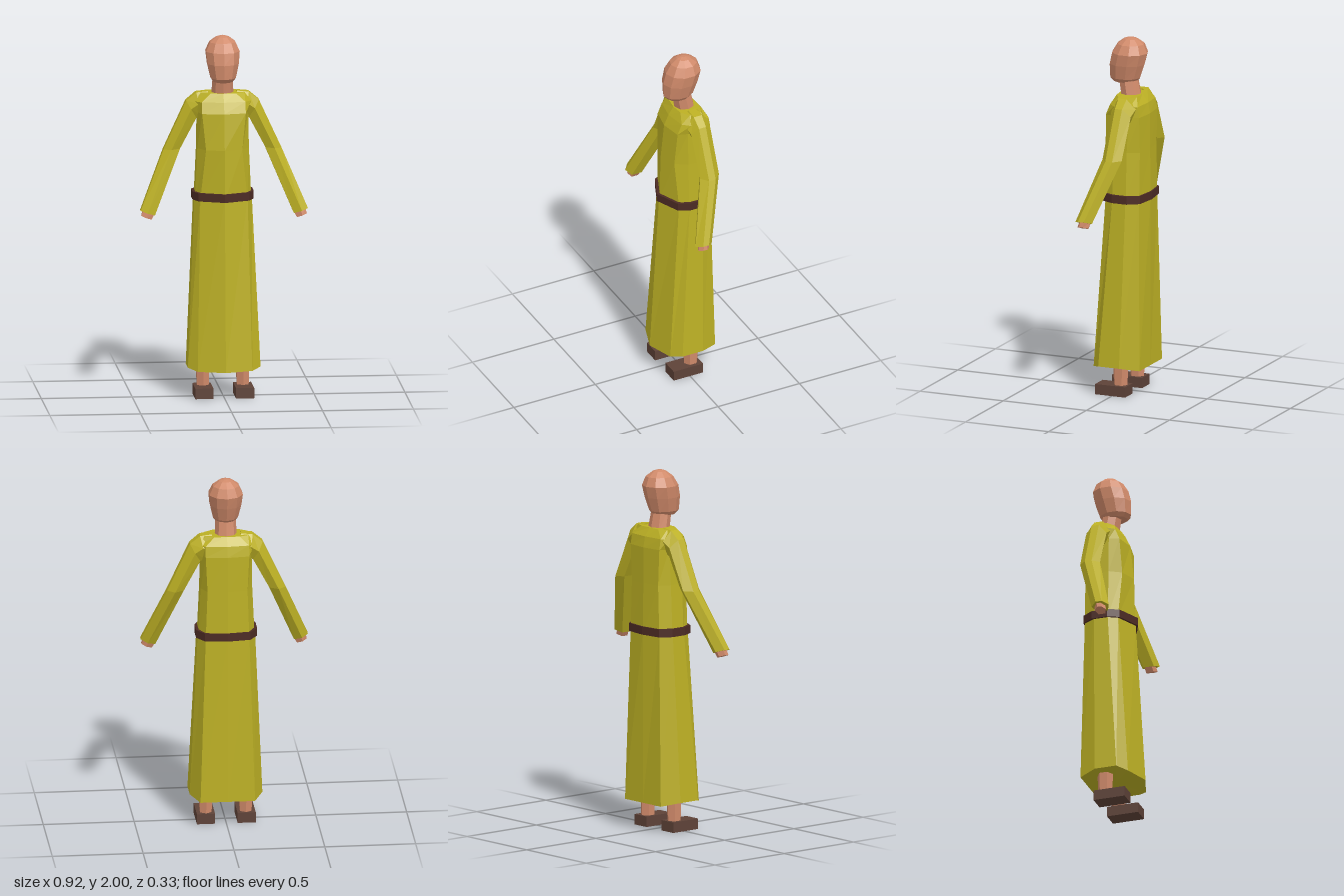
import * as THREE from 'three';

const mat = (color) => new THREE.MeshStandardMaterial({ color, flatShading: true });

// Skin a stack of rings; each ring runs counter-clockwise seen from the stack's far end
function loft(rings) {
  const pos = [];
  const tri = (...p) => p.forEach((v) => pos.push(...v));
  const n = rings[0].length;
  for (let i = 0; i < rings.length - 1; i++) {
    for (let j = 0; j < n; j++) {
      const k = (j + 1) % n;
      const a = rings[i][j], b = rings[i][k], c = rings[i + 1][k], d = rings[i + 1][j];
      tri(a, b, c);
      tri(a, c, d);
    }
  }
  const mid = (r) => [0, 1, 2].map((q) => r.reduce((s, p) => s + p[q], 0) / n);
  const first = rings[0], last = rings[rings.length - 1];
  for (let j = 0; j < n; j++) {
    const k = (j + 1) % n;
    tri(mid(first), first[k], first[j]);
    tri(mid(last), last[j], last[k]);
  }
  const g = new THREE.BufferGeometry();
  g.setAttribute('position', new THREE.Float32BufferAttribute(pos, 3));
  g.computeVertexNormals();
  return g;
}

// Left half [x, z] from front centre to back centre, mirrored into a full ring;
// rise lifts the corners above the centre line
function halfRing(y, half, rise = 0) {
  const left = half.map(([x, z]) => [x, y + (x > 0.17 ? rise : 0), z]);
  const right = left.slice(1, -1).reverse().map(([x, yy, z]) => [-x, yy, z]);
  return [...left, ...right];
}

// Ellipse ring starting at the front
function oval(y, rx, zf, zb, n = 10, tilt = 0) {
  return Array.from({ length: n }, (_, i) => {
    const a = (i / n) * Math.PI * 2, c = Math.cos(a);
    return [rx * Math.sin(a), y + tilt * c, (zf + zb) / 2 + ((zf - zb) / 2) * c];
  });
}

// Six-sided limb ring between an outer and an inner point
function limbRing([ox, oy, ix, iy, zf, zb]) {
  return [[1, -0.3], [1, 0.4], [0.1, 1], [-1, 0.6], [-1, -0.6], [0.1, -1]].map(([u, w]) => [
    (ox + ix) / 2 + (u * (ox - ix)) / 2,
    (oy + iy) / 2 + (u * (oy - iy)) / 2,
    (zf + zb) / 2 + (w * (zf - zb)) / 2,
  ]);
}

const mirror = (rings) => rings.map((r) => r.map(([x, y, z]) => [-x, y, z]).reverse());

export function createModel() {
  const group = new THREE.Group();
  const cloth = mat(0xbcb024), skin = mat(0xd08a6a), leather = mat(0x4c2b24), shoe = mat(0x5e4238);
  const add = (name, geometry, material) => {
    const m = new THREE.Mesh(geometry, material);
    m.name = name;
    group.add(m);
    return m;
  };

  // Long skirt
  add('skirt', loft([
    halfRing(0.155, [[0, 0.165], [0.15, 0.115], [0.2, 0.065], [0.2, -0.06], [0.15, -0.16], [0, -0.16]], 0.015),
    halfRing(1.11, [[0, 0.108], [0.13, 0.052], [0.158, 0], [0.158, -0.08], [0.12, -0.145], [0, -0.16]]),
  ]), cloth);

  // Belt
  const beltHalf = [[0, 0.122], [0.14, 0.062], [0.168, 0], [0.168, -0.09], [0.125, -0.152], [0, -0.168]];
  add('belt', loft([halfRing(1.095, beltHalf), halfRing(1.14, beltHalf)]), leather);

  // Upper robe
  add('torso', loft([
    halfRing(1.1, [[0, 0.105], [0.13, 0.05], [0.155, 0], [0.155, -0.08], [0.12, -0.145], [0, -0.16]]),
    halfRing(1.38, [[0, 0.098], [0.1, 0.065], [0.142, 0], [0.142, -0.08], [0.11, -0.145], [0, -0.157]]),
    halfRing(1.58, [[0, 0.077], [0.12, 0.055], [0.138, 0], [0.138, -0.09], [0.12, -0.145], [0, -0.157]]),
    halfRing(1.64, [[0, 0.05], [0.12, 0.03], [0.155, -0.01], [0.155, -0.1], [0.12, -0.135], [0, -0.145]]),
    halfRing(1.685, [[0, 0.02], [0.07, 0.012], [0.12, -0.02], [0.12, -0.09], [0.07, -0.11], [0, -0.11]]),
  ]), cloth);

  // Sleeves and hands: outer x y, inner x y, front z, back z
  const sleeve = [
    [0.08, 1.692, 0.08, 1.57, 0.01, -0.125],
    [0.145, 1.685, 0.115, 1.56, 0.01, -0.13],
    [0.2, 1.64, 0.145, 1.545, 0.0, -0.12],
    [0.325, 1.37, 0.235, 1.375, 0.0, -0.115],
    [0.46, 1.05, 0.382, 1.025, 0.1, 0.0],
  ].map(limbRing);
  const hand = [
    [0.445, 1.055, 0.38, 1.035, 0.078, 0.012],
    [0.455, 1.02, 0.4, 1.0, 0.085, 0.02],
  ].map(limbRing);
  add('leftSleeve', loft(sleeve), cloth);
  add('rightSleeve', loft(mirror(sleeve)), cloth);
  add('leftHand', loft(hand), skin);
  add('rightHand', loft(mirror(hand)), skin);

  // Neck and head
  add('neck', loft([oval(1.66, 0.062, 0.01, -0.105, 8), oval(1.78, 0.055, 0.03, -0.08, 8)]), skin);
  add('head', loft([
    oval(1.75, 0.055, 0.06, -0.075),
    oval(1.772, 0.072, 0.08, -0.095),
    oval(1.85, 0.09, 0.082, -0.122),
    oval(1.915, 0.097, 0.066, -0.138),
    oval(1.965, 0.074, 0.035, -0.118),
    oval(1.992, 0.038, -0.002, -0.08),
    oval(2.0, 0.012, -0.025, -0.055),
  ]), skin);

  // Legs and shoes
  for (const [side, s] of [['left', 1], ['right', -1]]) {
    const leg = add(side + 'Leg', loft([
      oval(0.04, 0.036, 0.01, -0.07, 6),
      oval(0.3, 0.046, 0.02, -0.08, 6),
    ]), skin);
    leg.position.x = 0.11 * s;
    const foot = add(side + 'Shoe', new THREE.BoxGeometry(0.1, 0.058, 0.18), shoe);
    foot.position.set(0.112 * s, 0.029, 0.01);
  }
  return group;
}
